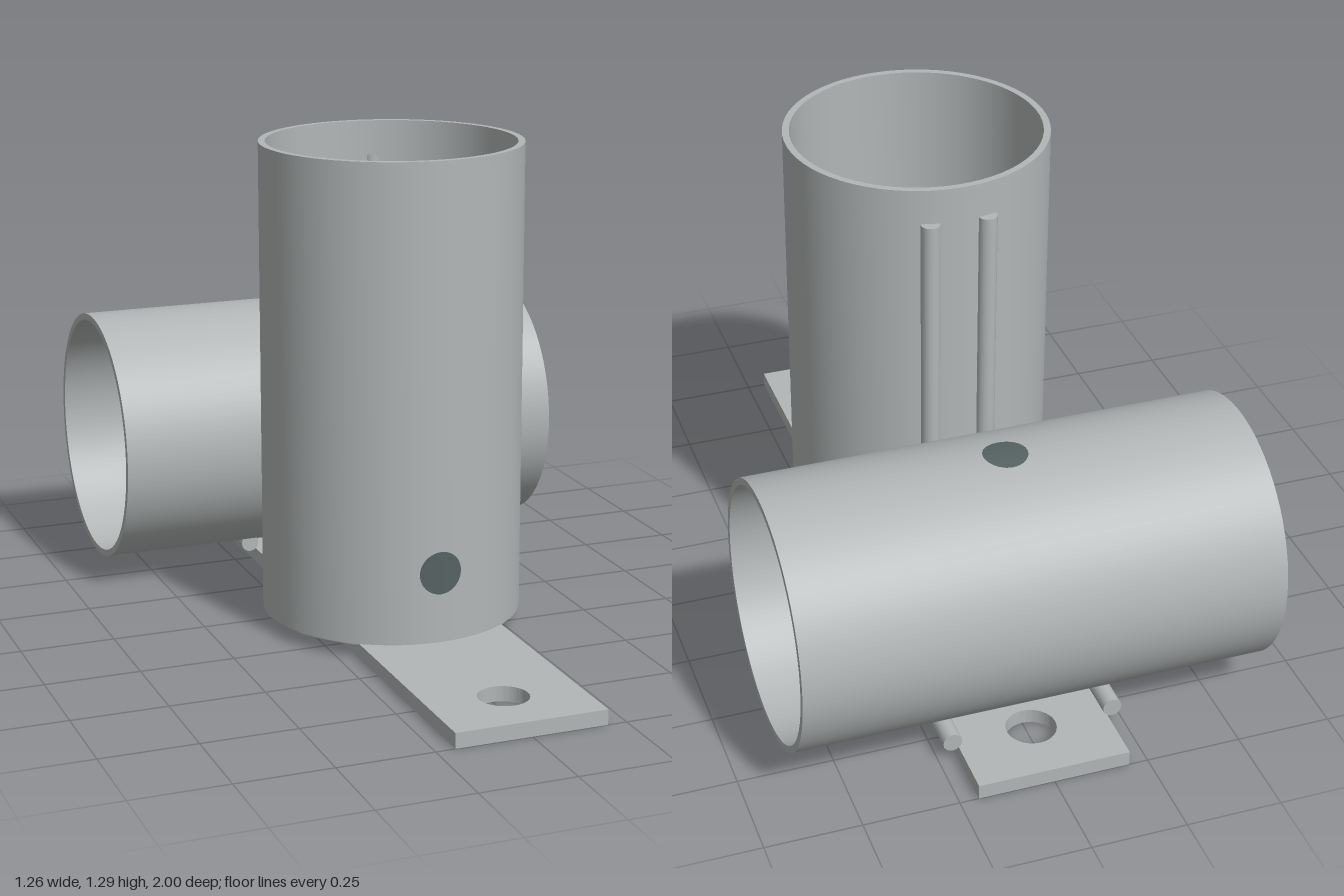
import * as THREE from 'three';
import { toCreasedNormals } from 'three/addons/utils/BufferGeometryUtils.js';

const R = 0.345, WALL = 0.018;

export function createModel() {
  const model = new THREE.Group();
  const steel = new THREE.MeshStandardMaterial({ color: 0xb2b6b6 });
  steel.name = 'steel';
  const dark = new THREE.MeshStandardMaterial({ color: 0x566262, side: THREE.DoubleSide });
  dark.name = 'darkHole';

  function add(name, geometry, material, parent = model) {
    const mesh = new THREE.Mesh(geometry, material);
    mesh.name = name;
    parent.add(mesh);
    return mesh;
  }

  function extrude(shape, depth) {
    const g = new THREE.ExtrudeGeometry(shape, { depth, bevelEnabled: false, curveSegments: 32 });
    return toCreasedNormals(g, 0.5);
  }

  function circle(x, y, r, Type = THREE.Path) {
    const path = new Type();
    path.absarc(x, y, r, 0, Math.PI * 2, false);
    return path;
  }

  // Open pipe along z, starting at z = 0
  function pipe(length) {
    const shape = circle(0, 0, R, THREE.Shape);
    shape.holes.push(circle(0, 0, R - WALL));
    return extrude(shape, length);
  }

  // Round patch bent to a pipe of the given radius, with the pipe axis along y
  function bentDisc(radius) {
    const g = new THREE.RingGeometry(0, 0.057, 40, 4);
    const p = g.attributes.position;
    for (let i = 0; i < p.count; i++) p.setZ(i, Math.sqrt(radius * radius - p.getX(i) ** 2));
    g.computeVertexNormals();
    return g;
  }

  // Base plate with a bolt hole near each end
  const outline = new THREE.Shape();
  outline.moveTo(-0.2, -1).lineTo(0.2, -1).lineTo(0.2, 1).lineTo(-0.2, 1).closePath();
  for (const y of [-0.83, 0.83]) outline.holes.push(circle(0, y, 0.065));
  add('basePlate', extrude(outline, 0.04), steel).rotation.x = -Math.PI / 2;

  // Upright pipe
  const upright = new THREE.Group();
  upright.name = 'uprightPipe';
  upright.position.set(0, 0.04, 0.088);
  model.add(upright);
  add('uprightTube', pipe(1.255), steel, upright).rotation.x = -Math.PI / 2;
  const ring = add('baseWeld', new THREE.TorusGeometry(0.332, 0.012, 8, 14), steel, upright);
  ring.rotation.x = Math.PI / 2;

  // Lying pipe
  const lying = new THREE.Group();
  lying.name = 'lyingPipe';
  lying.position.set(0, 0.385, -0.605);
  model.add(lying);
  const tube = add('lyingTube', pipe(1.256), steel, lying);
  tube.rotation.y = Math.PI / 2;
  tube.position.x = -0.628;

  // Dark drill holes, on the outer and inner wall of both pipes
  for (const radius of [R + 0.002, R - WALL - 0.002]) {
    add('uprightDrillHole', bentDisc(radius), dark, upright).position.y = 0.188;
    const hole = add('lyingDrillHole', bentDisc(radius), dark, lying);
    hole.rotation.set(-Math.PI / 2, 0, Math.PI / 2);
  }

  // Weld rods: vertical between the pipes, horizontal beside the plate
  for (const side of [-1, 1]) {
    add('uprightWeldRod', new THREE.CylinderGeometry(0.025, 0.025, 1.07, 16), steel)
      .position.set(side * 0.075, 0.667, -0.25);
    const rod = add('plateWeldRod', new THREE.CylinderGeometry(0.025, 0.025, 0.38, 16), steel);
    rod.rotation.x = Math.PI / 2;
    rod.position.set(side * 0.215, 0.057, -0.655);
  }

  return model;
}
